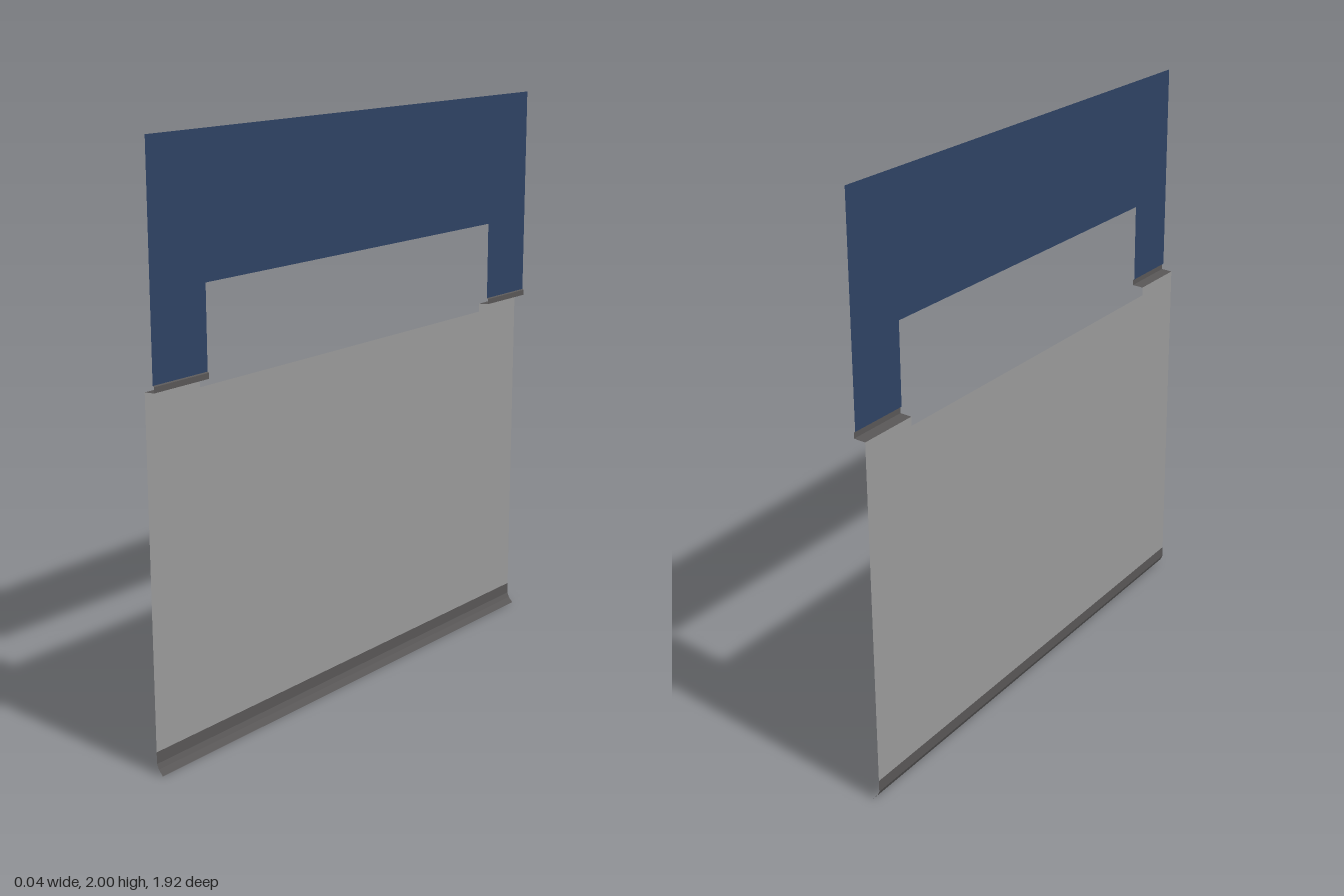
import * as THREE from 'three';

const material = (name, color) => {
  const m = new THREE.MeshStandardMaterial({ color, side: THREE.DoubleSide });
  m.name = name;
  return m;
};

const HALF = 0.96;   // half length of the wall
const OPEN = 0.73;   // half length of the window opening
const LOWER_X = -0.02, UPPER_X = 0.015;

// Flat sheet facing +x, outlined by [z, y] points
function sheet(name, points, x, mat) {
  const shape = new THREE.Shape(points.map(([z, y]) => new THREE.Vector2(-z, y)));
  const geo = new THREE.ShapeGeometry(shape).rotateY(Math.PI / 2).translate(x, 0, 0);
  const mesh = new THREE.Mesh(geo, mat);
  mesh.name = name;
  return mesh;
}

// Open moulding: an [x, y] profile, bottom to top, swept between two z values
function moulding(name, profile, z0, z1, mat) {
  const pos = [];
  for (let i = 0; i < profile.length - 1; i++) {
    const [ax, ay] = profile[i], [bx, by] = profile[i + 1];
    pos.push(ax, ay, z1, ax, ay, z0, bx, by, z0);
    pos.push(ax, ay, z1, bx, by, z0, bx, by, z1);
  }
  const geo = new THREE.BufferGeometry();
  geo.setAttribute('position', new THREE.Float32BufferAttribute(pos, 3));
  geo.computeVertexNormals();
  const mesh = new THREE.Mesh(geo, mat);
  mesh.name = name;
  return mesh;
}

export function createModel() {
  const grey = material('grey wall', 0x999999);
  const blue = material('navy wall', 0x2e4263);
  const trim = material('dark trim', 0x585656);
  const group = new THREE.Group();
  group.name = 'wallPanel';

  // Lower wall with a shallow notch for the opening
  group.add(sheet('lowerWall', [
    [-HALF, 0.075], [HALF, 0.075], [HALF, 1.24], [OPEN, 1.24],
    [OPEN, 1.21], [-OPEN, 1.21], [-OPEN, 1.24], [-HALF, 1.24],
  ], LOWER_X, grey));

  // Upper wall wrapping over the opening
  group.add(sheet('upperWall', [
    [-HALF, 1.265], [-OPEN, 1.265], [-OPEN, 1.54], [OPEN, 1.54],
    [OPEN, 1.265], [HALF, 1.265], [HALF, 2], [-HALF, 2],
  ], UPPER_X, blue));

  // Baseboard with a flared lip
  group.add(moulding('baseboard', [
    [0.005, 0], [-0.012, 0.018], [LOWER_X, 0.035], [LOWER_X, 0.075],
  ], -HALF, HALF, trim));

  // Ledge joining the two walls on each side of the opening
  for (const [name, z0, z1] of [['leftLedge', OPEN, HALF], ['rightLedge', -HALF, -OPEN]]) {
    group.add(moulding(name, [
      [LOWER_X, 1.24], [0.02, 1.243], [0.02, 1.262], [UPPER_X, 1.265],
    ], z0, z1, trim));
  }
  return group;
}
